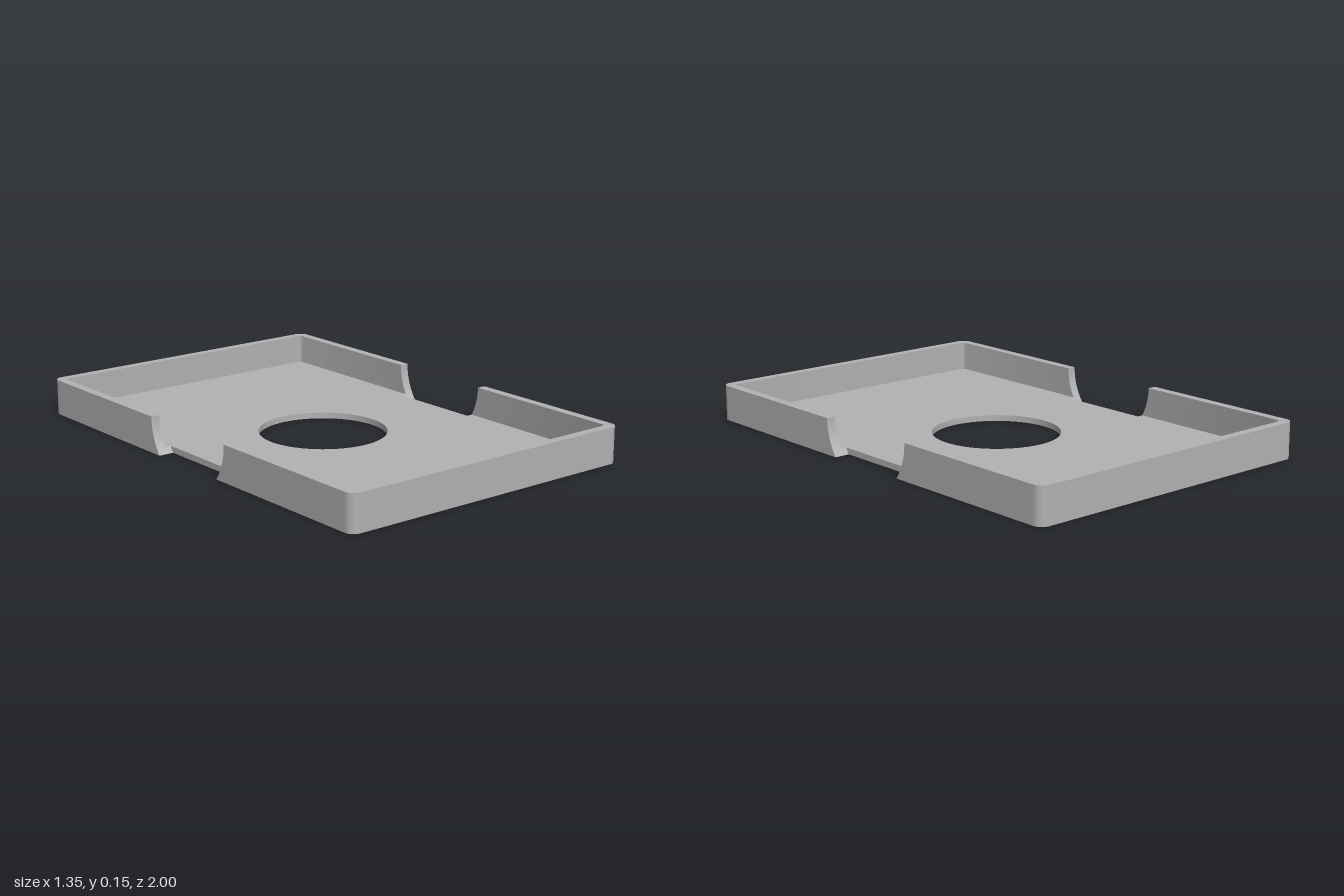
import * as THREE from 'three';
import { toCreasedNormals } from 'three/addons/utils/BufferGeometryUtils.js';

const W = 0.675, D = 1, H = 0.15;      // half width, half depth, height
const WALL = 0.038, FLOOR = 0.025;     // thicknesses
const CUT_R = 0.245, CUT_X = 0.61;     // side cut-out: radius and inner reach
const MARK = 0.2;                      // flat position of the cut ends before bending
const HOLE = 0.265;

// Half-width of the round side cut at height y (cut axis lies at the top rim)
const cutZ = (y) => Math.sqrt(CUT_R ** 2 - (H - y) ** 2);

// Rounded rectangle with a rectangular notch in both long sides and a round hole
function floorShape(w, d, r, n) {
  const s = new THREE.Shape();
  s.moveTo(CUT_X, -n).lineTo(CUT_X, n).lineTo(w, n).lineTo(w, d - r);
  s.absarc(w - r, d - r, r, 0, Math.PI / 2);
  s.absarc(-w + r, d - r, r, Math.PI / 2, Math.PI);
  s.lineTo(-w, n).lineTo(-CUT_X, n).lineTo(-CUT_X, -n).lineTo(-w, -n);
  s.absarc(-w + r, -d + r, r, Math.PI, Math.PI * 1.5);
  s.absarc(w - r, -d + r, r, Math.PI * 1.5, Math.PI * 2);
  s.lineTo(w, -n);
  s.holes.push(new THREE.Path().absarc(0, 0, HOLE, 0, Math.PI * 2, true));
  return s;
}

// U-shaped wall around one end of the tray
function wallShape() {
  const s = new THREE.Shape(), r = 0.04, q = 0.018, w = W - WALL, d = D - WALL;
  s.moveTo(W, -MARK).lineTo(w, -MARK).lineTo(w, -d + q);
  s.absarc(w - q, -d + q, q, 0, -Math.PI / 2, true);
  s.absarc(-w + q, -d + q, q, -Math.PI / 2, -Math.PI, true);
  s.lineTo(-w, -MARK).lineTo(-W, -MARK).lineTo(-W, -D + r);
  s.absarc(-W + r, -D + r, r, Math.PI, Math.PI * 1.5);
  s.absarc(W - r, -D + r, r, Math.PI * 1.5, Math.PI * 2);
  return s;
}

// Extrude upward from y0 to y1, bend the cut ends, and drop the hidden cap at dropY
function solid(shape, y0, y1, steps, dropY) {
  let g = new THREE.ExtrudeGeometry(shape, { depth: y1 - y0, steps, bevelEnabled: false, curveSegments: 32 });
  g.rotateX(-Math.PI / 2).translate(0, y0, 0);
  const p = g.attributes.position, kept = [];
  for (let i = 0; i < p.count; i++) {
    const z = p.getZ(i);
    if (Math.abs(Math.abs(z) - MARK) < 1e-4 && Math.abs(p.getX(i)) > 0.5) {
      p.setZ(i, Math.sign(z) * cutZ(p.getY(i)));
    }
  }
  for (let i = 0; i < p.count; i += 3) {
    if ([0, 1, 2].some((k) => Math.abs(p.getY(i + k) - dropY) > 1e-5)) kept.push(i, i + 1, i + 2);
  }
  g.clearGroups();
  g.setIndex(kept);
  g = g.toNonIndexed();
  return toCreasedNormals(g, 0.5);
}

export function createModel() {
  const group = new THREE.Group();
  const grey = new THREE.MeshStandardMaterial({ color: 0xb2b2b2 });
  grey.name = 'grey';
  const add = (name, geometry) => {
    const m = new THREE.Mesh(geometry, grey);
    m.name = name;
    group.add(m);
    return m;
  };

  // Base plate: underside, edges and hole wall
  add('basePlate', solid(floorShape(W, D, 0.04, MARK), 0, FLOOR, 2, FLOOR));

  // Inner floor surface between the walls
  const top = new THREE.ShapeGeometry(floorShape(W - WALL, D - WALL, 0.018, cutZ(FLOOR)), 32);
  add('innerFloor', top.rotateX(-Math.PI / 2).translate(0, FLOOR, 0));

  // Two end walls, with curved cut ends at the sides
  const wall = solid(wallShape(), FLOOR, H, 10, FLOOR);
  add('frontWall', wall);
  add('backWall', wall).rotation.y = Math.PI;

  return group;
}
